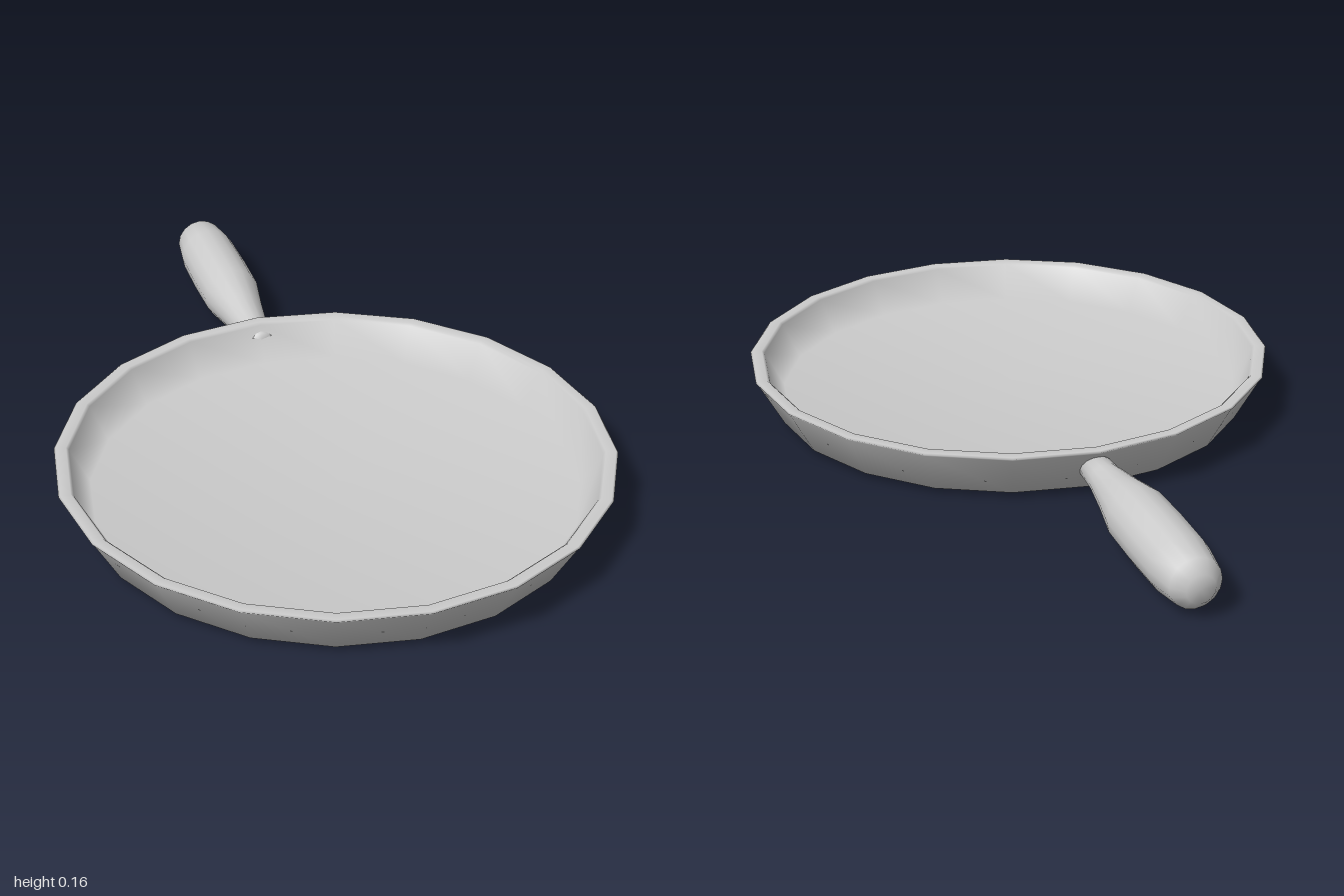
import * as THREE from 'three';

const material = new THREE.MeshStandardMaterial({ color: 0xcccccc });

// Turned part from [radius, height] pairs, listed bottom to top on the outside
function turned(name, profile, sides) {
  const points = profile.map(([r, h]) => new THREE.Vector2(r, h));
  const mesh = new THREE.Mesh(new THREE.LatheGeometry(points, sides), material);
  mesh.name = name;
  return mesh;
}

export function createModel() {
  const model = new THREE.Group();
  model.name = 'fryingPan';

  // Shallow dish: base, flared wall, flat rim, inner wall, floor
  const dish = turned('dish', [
    [0, 0.013], [0.62, 0.013],
    [0.685, 0.13], [0.69, 0.135], [0.685, 0.138],
    [0.66, 0.138], [0.653, 0.132],
    [0.605, 0.042], [0, 0.04],
  ], 20);
  dish.position.z = 0.305;

  // Swelling handle, lying along -z and set into the dish wall
  const handle = turned('handle', [
    [0, 0.33], [0.038, 0.33], [0.043, 0.42], [0.058, 0.52],
    [0.077, 0.625], [0.079, 0.75], [0.077, 0.88],
    [0.064, 0.97], [0.036, 1], [0, 1],
  ], 16);
  handle.rotation.x = -Math.PI / 2;
  handle.position.y = 0.079;

  model.add(dish, handle);
  return model;
}
